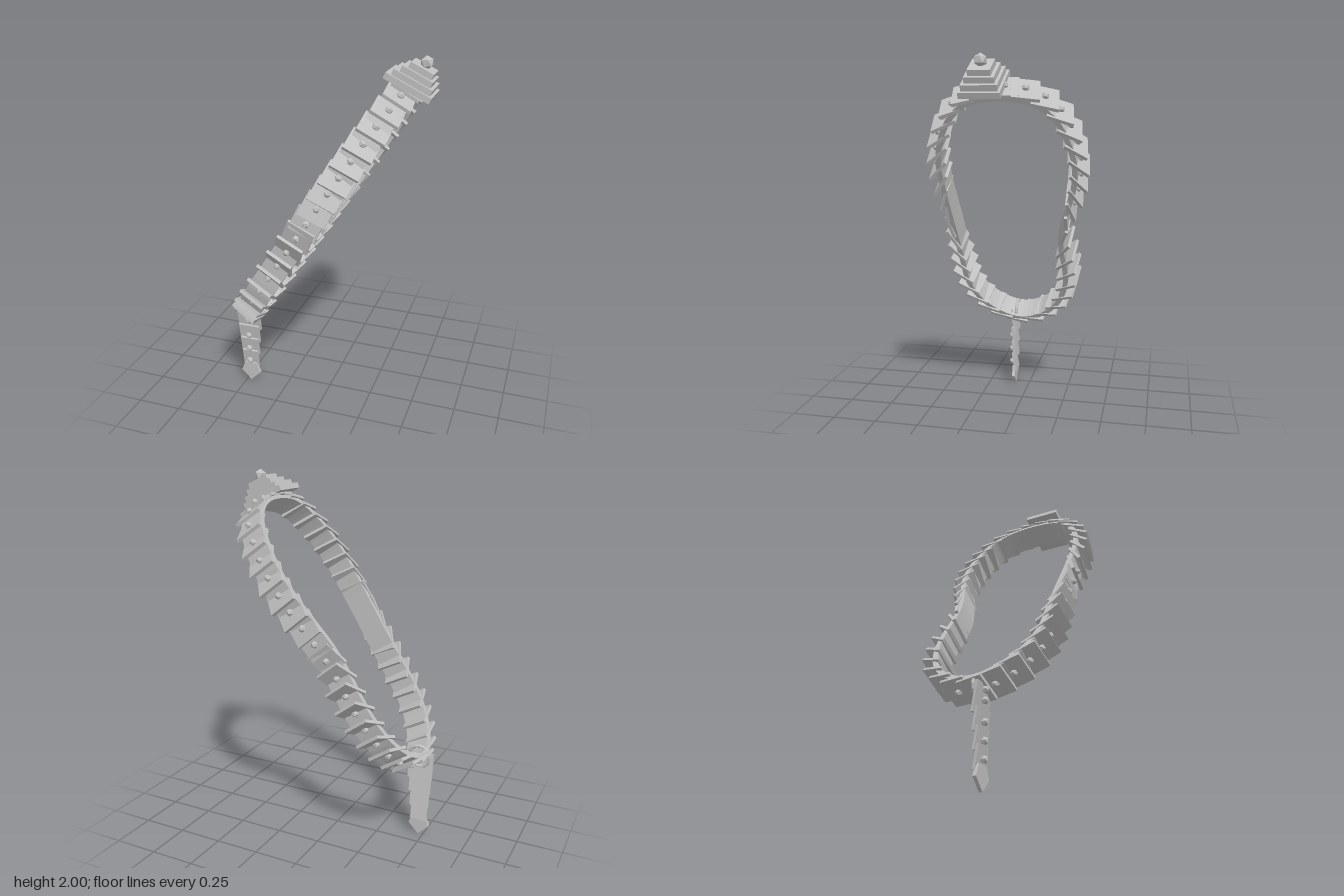
import * as THREE from 'three';

export function createModel() {
  const model = new THREE.Group();
  model.name = 'scaledBelt';
  const grey = new THREE.MeshStandardMaterial({ color: 0xc0c0c0, flatShading: true });
  grey.name = 'silverGrey';

  const add = (parent, geometry, name, x = 0, y = 0, z = 0) => {
    const m = new THREE.Mesh(geometry, grey);
    m.name = name;
    m.position.set(x, y, z);
    parent.add(m);
    return m;
  };

  // The loop lies in a leaning plane: "along" runs up its slope, "across" is the plane normal
  const across = new THREE.Vector3(0.8414, -0.5404, 0).normalize();
  const along = new THREE.Vector3(0.5404, 0.8414, 0).normalize();
  const onPlane = (z, y) => new THREE.Vector3((y - 1.2) / 1.557, y, z);
  const centre = onPlane(0.03, 1.18);

  // Centre line as (z, y), down the front and up the back
  const path = new THREE.CatmullRomCurve3([
    [0.35, 1.2], [0.342, 1.05], [0.338, 0.9], [0.33, 0.75], [0.272, 0.62], [0.17, 0.53],
    [0.07, 0.49], [-0.02, 0.495], [-0.12, 0.54], [-0.21, 0.63], [-0.262, 0.76], [-0.268, 0.88],
    [-0.258, 1.0], [-0.268, 1.12], [-0.31, 1.25], [-0.352, 1.38], [-0.363, 1.5], [-0.34, 1.62],
    [-0.283, 1.735], [-0.2, 1.8], [-0.1, 1.83], [0.05, 1.83], [0.15, 1.805], [0.24, 1.735],
    [0.31, 1.63], [0.35, 1.5], [0.355, 1.35],
  ].map(([z, y]) => onPlane(z, y)), true);

  // Inner strap: a thin rectangular section swept along the path
  const steps = 110, verts = [], index = [];
  const section = [[0.07, 0.008], [-0.07, 0.008], [-0.07, -0.02], [0.07, -0.02]];
  for (let i = 0; i < steps; i++) {
    const p = path.getPointAt(i / steps);
    const out = path.getTangentAt(i / steps).cross(across).normalize();
    for (const [a, b] of section) {
      const v = p.clone().addScaledVector(across, a).addScaledVector(out, b);
      verts.push(v.x, v.y, v.z);
    }
    for (let j = 0; j < 4; j++) {
      const k = (j + 1) % 4, next = ((i + 1) % steps) * 4;
      index.push(i * 4 + j, i * 4 + k, next + k, i * 4 + j, next + k, next + j);
    }
  }
  const strap = new THREE.BufferGeometry();
  strap.setAttribute('position', new THREE.Float32BufferAttribute(verts, 3));
  strap.setIndex(index);
  strap.computeVertexNormals();
  add(model, strap, 'strap');

  // Scales facing away from the middle of the loop, each with a stud
  const scaleGeo = new THREE.BoxGeometry(0.155, 0.138, 0.017);
  const studGeo = new THREE.IcosahedronGeometry(0.02, 0);
  const count = Math.round(path.getLength() / 0.0978);
  for (let i = 0; i < count; i++) {
    const p = path.getPointAt(i / count);
    const out = p.clone().sub(centre).normalize();
    const scale = new THREE.Group();
    scale.name = 'scale';
    const basis = new THREE.Matrix4().makeBasis(across, out.clone().cross(across), out);
    scale.quaternion.setFromRotationMatrix(basis);
    scale.rotateZ(0.14);
    scale.position.copy(p).addScaledVector(out, 0.01);
    add(scale, scaleGeo, 'scalePlate');
    add(scale, studGeo, 'scaleStud', 0, 0, 0.014);
    model.add(scale);
  }

  // Stepped buckle with a round gem on top
  const buckle = new THREE.Group();
  buckle.name = 'buckle';
  buckle.position.set(0.43, 1.86, 0.053);
  buckle.quaternion.setFromRotationMatrix(
    new THREE.Matrix4().makeBasis(across, along, new THREE.Vector3(0, 0, 1)));
  buckle.rotateZ(0.12);
  [[0.25, 0.2], [0.21, 0.175], [0.165, 0.145], [0.125, 0.11]].forEach(([w, d], i) =>
    add(buckle, new THREE.BoxGeometry(w, 0.031, d), 'buckleStep', i * 0.005, i * 0.03, 0));
  add(buckle, new THREE.IcosahedronGeometry(0.034, 0), 'buckleGem', 0.016, 0.126, 0);
  model.add(buckle);

  // Ring that holds the tail
  add(model, new THREE.TorusGeometry(0.06, 0.01, 6, 16), 'tailRing', -0.467, 0.488, 0.07);

  // Hanging tail of narrowing plates
  const tail = new THREE.Group();
  tail.name = 'tail';
  tail.position.set(-0.473, 0, 0.09);
  [[0.14, 0.425, 0.15], [0.125, 0.322, 0.115], [0.11, 0.235, 0.115], [0.095, 0.15, 0.115]]
    .forEach(([w, y, h]) => {
      add(tail, new THREE.BoxGeometry(w, h, 0.013), 'tailPlate', 0, y, -0.003).rotation.x = 0.16;
      add(tail, studGeo, 'tailStud', 0, y - 0.007, 0.016);
    });
  add(tail, studGeo, 'tailStud', 0, 0.47, 0.016);

  // Pointed tip
  const tip = new THREE.Shape([[0, 0], [0.06, 0.06], [0.035, 0.12], [-0.035, 0.12], [-0.06, 0.06]]
    .map(([x, y]) => new THREE.Vector2(x, y)));
  add(tail, new THREE.ExtrudeGeometry(tip, { depth: 0.018, bevelEnabled: false }), 'tailTip', 0, 0, -0.009);
  model.add(tail);

  return model;
}
